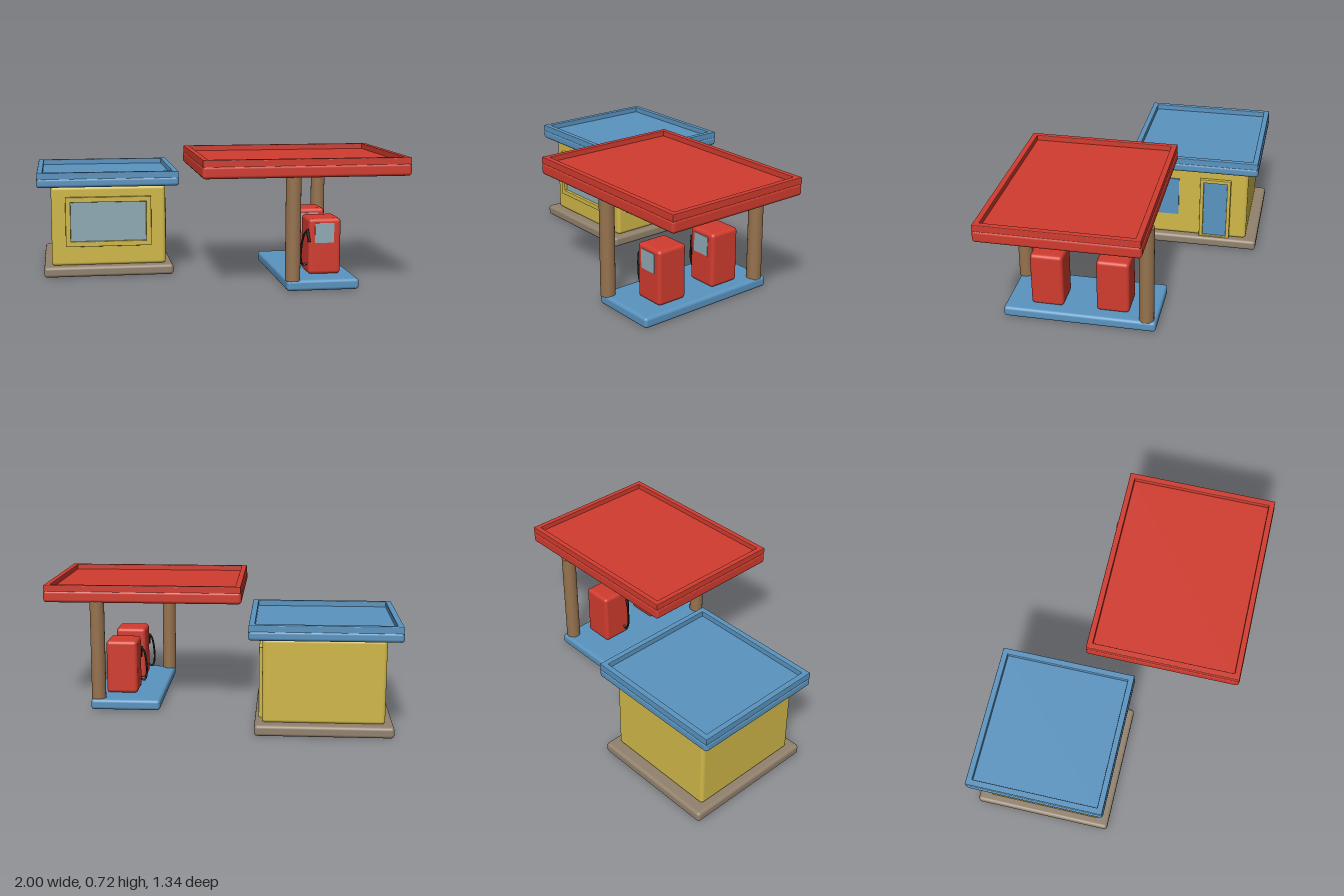
import * as THREE from 'three';
import { RoundedBoxGeometry } from 'three/addons/geometries/RoundedBoxGeometry.js';

const material = (name, color) => {
  const m = new THREE.MeshStandardMaterial({ color });
  m.name = name;
  return m;
};

export function createModel() {
  const red = material('red', 0xd23c2f);
  const blue = material('blue', 0x5a94c0);
  const yellow = material('yellow', 0xd0b848);
  const stone = material('stone', 0x92826e);
  const wood = material('brown', 0x96724e);
  const glass = material('glass', 0x90abb6);
  const black = material('black', 0x161616);

  const add = (parent, name, geometry, mat) => {
    const mesh = new THREE.Mesh(geometry, mat);
    mesh.name = name;
    parent.add(mesh);
    return mesh;
  };
  const group = (parent, name) => {
    const g = new THREE.Group();
    g.name = name;
    parent.add(g);
    return g;
  };
  // Box given by its limits on each axis, with rounded edges if r > 0
  const box = (parent, name, mat, [x0, x1], [y0, y1], [z0, z1], r = 0) => {
    const size = [x1 - x0, y1 - y0, z1 - z0];
    const geometry = r ? new RoundedBoxGeometry(...size, 3, r) : new THREE.BoxGeometry(...size);
    geometry.translate((x0 + x1) / 2, (y0 + y1) / 2, (z0 + z1) / 2);
    return add(parent, name, geometry, mat);
  };
  // Rectangular frame lying in XY, centred, with its back on z = 0
  const frame = (w, h, border, depth, bottomBorder = border) => {
    const rect = (path, x0, y0, x1, y1) => {
      path.moveTo(x0, y0);
      path.lineTo(x1, y0);
      path.lineTo(x1, y1);
      path.lineTo(x0, y1);
      path.closePath();
      return path;
    };
    const b = 0.004;
    const shape = rect(new THREE.Shape(), -w / 2 + b, -h / 2 + b, w / 2 - b, h / 2 - b);
    shape.holes.push(rect(new THREE.Path(), -w / 2 + border, -h / 2 + bottomBorder, w / 2 - border, h / 2 - border));
    const geometry = new THREE.ExtrudeGeometry(shape, {
      depth: depth - 2 * b, bevelEnabled: true, bevelSize: b, bevelThickness: b, bevelSegments: 2,
    });
    return geometry.translate(0, 0, b);
  };
  // Flat roof: rounded slab with a raised rim around its top
  const roof = (parent, name, mat, [x0, x1], [y0, y1, y2], [z0, z1]) => {
    const g = group(parent, name);
    box(g, 'roofSlab', mat, [x0, x1], [y0, y1], [z0, z1], 0.018);
    const rim = add(g, 'roofRim', frame(x1 - x0 - 0.008, z1 - z0 - 0.008, 0.028, y2 - y1 + 0.01), mat);
    rim.rotation.x = -Math.PI / 2;
    rim.position.set((x0 + x1) / 2, y1 - 0.01, (z0 + z1) / 2);
  };

  const model = new THREE.Group();
  model.name = 'fuelStation';

  // Shop
  const shop = group(model, 'shop');
  box(shop, 'shopBase', stone, [-0.965, -0.225], [0, 0.06], [-0.67, 0.105], 0.018);
  box(shop, 'shopWalls', yellow, [-0.92, -0.265], [0.055, 0.515], [-0.605, 0.05], 0.02);
  roof(shop, 'shopRoof', blue, [-1, -0.19], [0.515, 0.57, 0.6], [-0.665, 0.1]);

  // Front window
  box(shop, 'frontWindow', glass, [-0.82, -0.37], [0.19, 0.435], [0.048, 0.056]);
  add(shop, 'frontWindowFrame', frame(0.49, 0.285, 0.025, 0.03), yellow).position.set(-0.595, 0.3125, 0.045);

  // Side window and door
  box(shop, 'sideWindow', blue, [-0.266, -0.257], [0.19, 0.43], [-0.19, -0.01]);
  box(shop, 'door', blue, [-0.266, -0.258], [0.06, 0.43], [-0.495, -0.335]);
  const doorFrame = add(shop, 'doorFrame', frame(0.185, 0.395, 0.018, 0.025, 0.012), yellow);
  doorFrame.rotation.y = Math.PI / 2;
  doorFrame.position.set(-0.27, 0.2485, -0.4125);

  // Forecourt island, diagonal posts and canopy
  const forecourt = group(model, 'forecourt');
  box(forecourt, 'island', blue, [0.33, 0.73], [0, 0.06], [-0.225, 0.625], 0.018);
  for (const [x, z] of [[0.365, 0.595], [0.69, -0.17]]) {
    add(forecourt, 'canopyPost', new THREE.CylinderGeometry(0.041, 0.041, 0.575, 32), wood).position.set(x, 0.3425, z);
  }
  roof(forecourt, 'canopy', red, [-0.135, 0.995], [0.62, 0.69, 0.72], [-0.2, 0.67]);

  // Fuel pumps
  const hosePath = new THREE.CatmullRomCurve3([
    [0.478, 0.305, 0.463], [0.462, 0.285, 0.457], [0.448, 0.225, 0.45],
    [0.445, 0.14, 0.445], [0.458, 0.106, 0.44], [0.485, 0.115, 0.44],
  ].map((p) => new THREE.Vector3(...p)));
  const nozzlePath = new THREE.LineCurve3(new THREE.Vector3(0.475, 0.31, 0.465), new THREE.Vector3(0.484, 0.24, 0.478));
  for (const z of [0, -0.367]) {
    const pump = group(forecourt, 'fuelPump');
    pump.position.z = z;
    box(pump, 'pumpBody', red, [0.48, 0.662], [0.058, 0.37], [0.3, 0.482], 0.02);
    box(pump, 'pumpDisplay', glass, [0.515, 0.622], [0.235, 0.345], [0.476, 0.485]);
    add(pump, 'hose', new THREE.TubeGeometry(hosePath, 32, 0.006, 8), black);
    add(pump, 'nozzle', new THREE.TubeGeometry(nozzlePath, 1, 0.009, 8), black);
  }
  return model;
}
